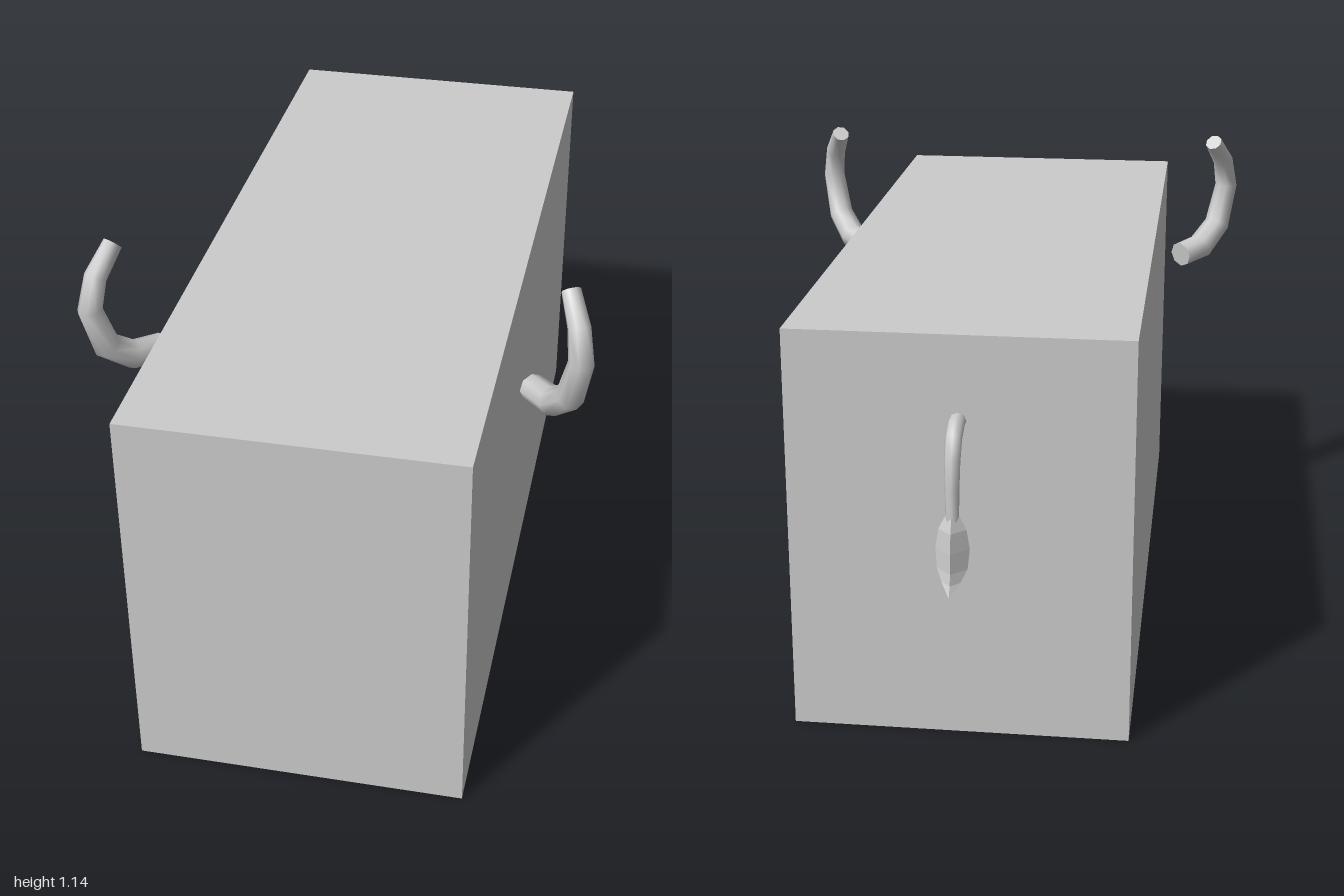
import * as THREE from 'three';

const smoothGrey = new THREE.MeshStandardMaterial({ color: 0xcccccc });
const flatGrey = new THREE.MeshStandardMaterial({ color: 0xcccccc, flatShading: true });

// Sweeps a regular polygon along stations [x, y, z, radius], with flat end caps.
// ref fixes the direction of the first corner of every ring.
function sweep(stations, sides, ref, fixedTangent) {
  const centres = stations.map(s => new THREE.Vector3(s[0], s[1], s[2]));
  const last = centres.length - 1;
  const positions = [], index = [], rings = [];
  centres.forEach((c, i) => {
    const t = fixedTangent ? fixedTangent.clone()
      : centres[Math.min(i + 1, last)].clone().sub(centres[Math.max(i - 1, 0)]).normalize();
    const u = ref.clone().addScaledVector(t, -ref.dot(t)).normalize();
    const v = t.clone().cross(u);
    const ring = [];
    for (let j = 0; j < sides; j++) {
      const a = j / sides * Math.PI * 2, r = stations[i][3];
      const p = c.clone().addScaledVector(u, r * Math.cos(a)).addScaledVector(v, r * Math.sin(a));
      ring.push(p);
      positions.push(p.x, p.y, p.z);
    }
    rings.push(ring);
  });
  for (let i = 0; i < last; i++) {
    for (let j = 0; j < sides; j++) {
      const a = i * sides + j, b = i * sides + (j + 1) % sides;
      index.push(a, b, a + sides, b, b + sides, a + sides);
    }
  }
  // Caps have their own vertices so that the rims stay sharp
  for (const i of [0, last]) {
    const start = positions.length / 3;
    rings[i].forEach(p => positions.push(p.x, p.y, p.z));
    for (let j = 1; j < sides - 1; j++) {
      if (i === 0) index.push(start, start + j + 1, start + j);
      else index.push(start, start + j, start + j + 1);
    }
  }
  const geometry = new THREE.BufferGeometry();
  geometry.setAttribute('position', new THREE.Float32BufferAttribute(positions, 3));
  geometry.setIndex(index);
  geometry.computeVertexNormals();
  return geometry;
}

export function createModel() {
  const model = new THREE.Group();
  model.name = 'hornedBox';
  const add = (name, geometry, material) => {
    const mesh = new THREE.Mesh(geometry, material);
    mesh.name = name;
    model.add(mesh);
    return mesh;
  };

  // Body block
  add('body', new THREE.BoxGeometry(0.78, 0.963, 1.84), flatGrey).position.set(0, 0.4815, 0.08);

  // Horns: curl outward, forward and up
  const horn = [
    [0.448, 0.812, 0.462, 0.034],
    [0.502, 0.822, 0.526, 0.036],
    [0.546, 0.876, 0.578, 0.034],
    [0.568, 0.985, 0.604, 0.030],
    [0.557, 1.060, 0.579, 0.027],
    [0.529, 1.121, 0.522, 0.023],
  ];
  for (const side of [1, -1]) {
    const path = horn.map(([x, y, z, r]) => [side * x, y, z, r]);
    add(side > 0 ? 'leftHorn' : 'rightHorn',
      sweep(path, 8, new THREE.Vector3(side * 0.75, 0, -0.66)), smoothGrey);
  }

  // Tail: leaves the back face and bends down
  const across = new THREE.Vector3(1, 0, 0);
  add('tail', sweep([
    [0, 0.766, -0.83, 0.019],
    [0, 0.767, -0.868, 0.019],
    [0, 0.750, -0.907, 0.019],
    [0, 0.708, -0.930, 0.018],
    [0, 0.640, -0.936, 0.016],
    [0, 0.570, -0.936, 0.015],
  ], 8, across), smoothGrey);

  // Four-sided tuft, swept back to a point
  add('tailTuft', sweep([
    [0, 0.588, -0.936, 0.012],
    [0, 0.550, -0.936, 0.031],
    [0, 0.505, -0.936, 0.038],
    [0, 0.460, -0.944, 0.034],
    [0, 0.436, -0.964, 0.021],
    [0, 0.415, -0.999, 0.001],
  ], 4, across, new THREE.Vector3(0, -1, 0)), flatGrey);

  return model;
}
